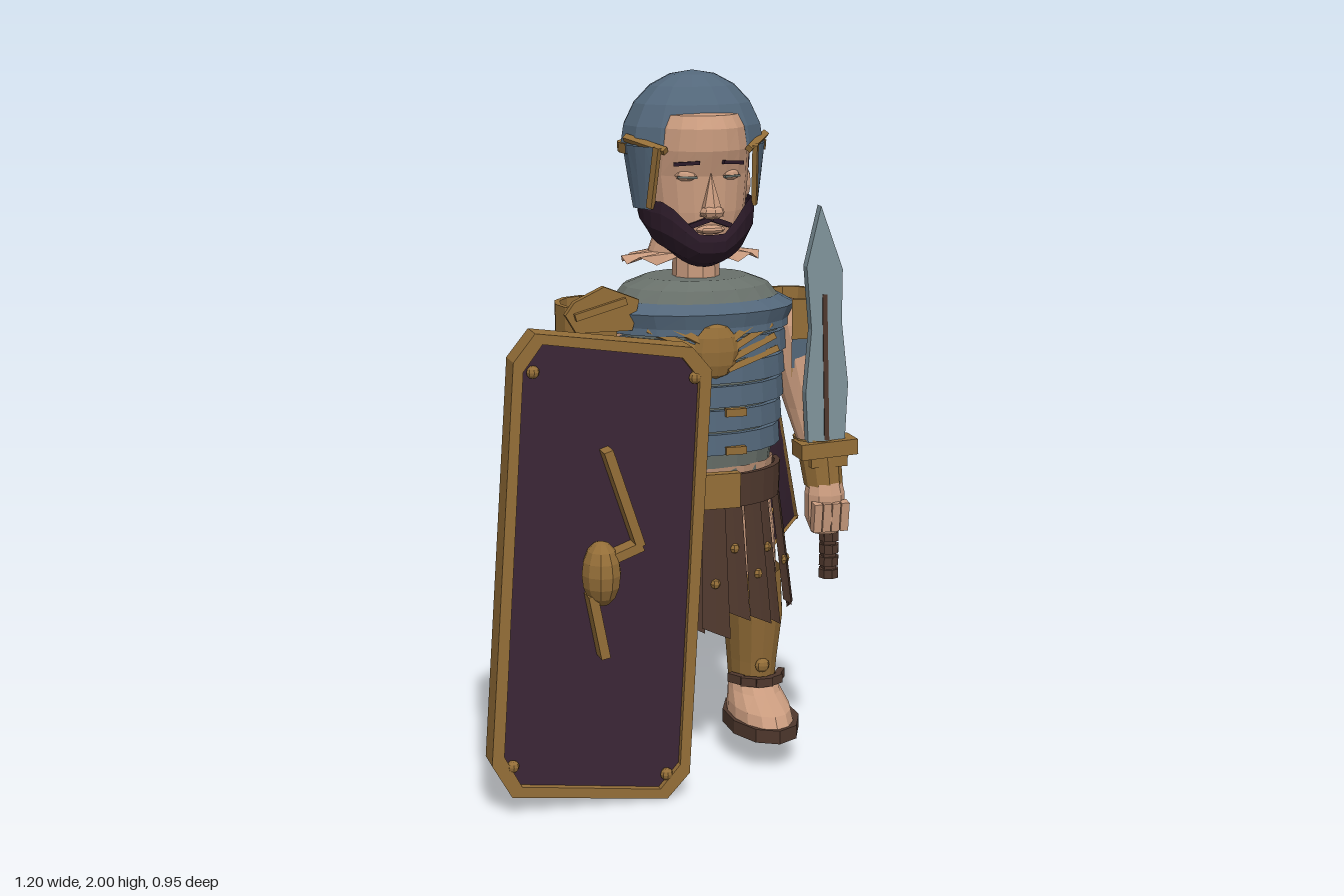
import * as THREE from 'three';

const paint = (name, color) => {
  const m = new THREE.MeshStandardMaterial({ color, side: THREE.DoubleSide });
  m.name = name;
  return m;
};
const M = {
  skin: paint('skin', 0xc99b7e), steel: paint('steel blue', 0x53677a), cloth: paint('grey cloth', 0x69716b),
  gold: paint('gold', 0x946e38), brown: paint('brown leather', 0x4f382d), purple: paint('purple', 0x3b2636),
  hair: paint('dark hair', 0x2b1a28), blade: paint('blade', 0x7f939b),
};

// Faceted mesh
function add(parent, name, geo, mat, pos = [0, 0, 0], rot = [0, 0, 0], scale = [1, 1, 1]) {
  const g = geo.index ? geo.toNonIndexed() : geo;
  g.computeVertexNormals();
  const m = new THREE.Mesh(g, mat);
  m.name = name;
  m.position.set(...pos);
  m.rotation.set(...rot);
  m.scale.set(...scale);
  parent.add(m);
  return m;
}
const box = (w, h, d) => new THREE.BoxGeometry(w, h, d);
const ball = (a = 10, b = 7) => new THREE.SphereGeometry(1, a, b);

// Sheet given by a rule (u, v) -> [x, y, z], v upward
function sheet(fn, nu, nv) {
  const g = new THREE.PlaneGeometry(1, 1, nu, nv), p = g.attributes.position;
  for (let i = 0; i < p.count; i++) p.setXYZ(i, ...fn(p.getX(i) + 0.5, p.getY(i) + 0.5));
  return g;
}
// Stack of elliptical rings [y, x, z, rx, rz], listed bottom to top
function loft(rings, n = 14) {
  return sheet((u, v) => {
    const [y, x, z, rx, rz] = rings[Math.round(v * (rings.length - 1))], a = u * Math.PI * 2 + Math.PI;
    return [x + rx * Math.sin(a), y, z + rz * Math.cos(a)];
  }, n, rings.length - 1);
}
// Thick elliptical wall around (x, z), spanning half-angle h about angle a; angle 0 is the front
function band(a, h, y0, y1, rx, rz, x, z, n) {
  const wall = [[y0, -0.016], [y0, 0], [y1, 0.002], [y1, -0.014], [y0, -0.016]];
  return sheet((u, v) => {
    const t = a + (u * 2 - 1) * h, [y, d] = wall[Math.round(v * 4)];
    return [x + (rx + d) * Math.sin(t), y, z + (rz + d) * Math.cos(t)];
  }, n, 4);
}
// Box running from a to b
function bar(parent, name, mat, a, b, w, d) {
  const A = new THREE.Vector3(...a), B = new THREE.Vector3(...b), dir = B.clone().sub(A);
  const m = add(parent, name, box(w, dir.length(), d), mat, A.clone().add(B).multiplyScalar(0.5).toArray());
  m.quaternion.setFromUnitVectors(new THREE.Vector3(0, 1, 0), dir.normalize());
}
const outline = (pts) => new THREE.Shape(pts.map((p) => new THREE.Vector2(...p)));
const slab = (shape, depth) => new THREE.ExtrudeGeometry(shape, { depth, bevelEnabled: false });

function buildHead(body) {
  const head = new THREE.Group();
  head.name = 'head';
  body.add(head);
  add(head, 'face', loft([[1.49, 0, 0.12, 0, 0], [1.5, 0, 0.12, 0.07, 0.07], [1.55, 0, 0.1, 0.11, 0.108], [1.62, 0, 0.07, 0.14, 0.143],
    [1.72, 0, 0.06, 0.152, 0.152], [1.79, 0, 0.07, 0.15, 0.162], [1.85, 0, 0.08, 0.137, 0.15], [1.885, 0, 0.085, 0.118, 0.122], [1.905, 0, 0.08, 0, 0]], 20), M.skin);
  const neckRings = [[1.462, 0.205, 0.085], [1.495, 0.125, 0.085], [1.54, 0.108, 0.09], [1.62, 0.115, 0.11], [1.78, 0.14, 0.13]];
  add(head, 'nape', sheet((u, v) => {
    const k = Math.round(v * 4), [y, rx, rz] = neckRings[k], a = u * Math.PI * 2, i = Math.round(u * 20);
    return [rx * Math.sin(a), y + (k ? 0 : (i % 2) * 0.022), 0.03 + rz * Math.cos(a)];
  }, 20, 4), M.skin);
  add(head, 'neck', new THREE.CylinderGeometry(0.065, 0.068, 0.16, 10), M.skin, [0, 1.46, 0.08]);
  // Beard rising along the jaw towards the ears
  add(head, 'beard', sheet((u, v) => {
    const a = (u * 2 - 1) * 1.85, k = Math.round(v * 5), t = Math.abs(a);
    const top = 1.562 + 0.088 * Math.min(1, Math.max(0, (t - 0.22) / 0.6));
    const low = 1.46 + 0.1 * (t / 1.85) ** 2, r = [0, 0.55, 0.84, 0.98, 1, 0.96][k];
    return [0.165 * r * Math.sin(a), low + (top - low) * [0, 0.03, 0.2, 0.5, 0.8, 1][k], 0.075 + 0.168 * r * Math.cos(a)];
  }, 16, 5), M.hair);
  add(head, 'nose', new THREE.ConeGeometry(0.034, 0.12, 6), M.skin, [0, 1.672, 0.222], [-0.08, 0, 0]);
  add(head, 'noseTip', ball(8, 6), M.skin, [0, 1.624, 0.23], [0, 0, 0], [0.036, 0.02, 0.033]);
  add(head, 'mouth', ball(8, 6), M.skin, [0, 1.574, 0.216], [0, 0, 0], [0.042, 0.013, 0.027]);
  for (const s of [-1, 1]) {
    add(head, 'moustache', box(0.062, 0.014, 0.02), M.hair, [s * 0.03, 1.594, 0.214], [0, s * 0.25, -s * 0.35]);
    add(head, 'eyebrow', box(0.072, 0.01, 0.012), M.hair, [s * 0.066, 1.757, 0.207], [0, s * 0.4, -s * 0.08]);
    add(head, 'eyelid', ball(8, 6), M.skin, [s * 0.062, 1.722, 0.19], [0, s * 0.35, 0], [0.034, 0.016, 0.018]);
    add(head, 'eyeLine', box(0.055, 0.006, 0.008), M.cloth, [s * 0.064, 1.719, 0.207], [0, s * 0.4, 0]);
    add(head, 'ear', ball(8, 6), M.skin, [s * 0.148, 1.68, 0.045], [0.15, 0, 0], [0.025, 0.052, 0.033]);
    // Cheek guard, narrower towards the jaw
    add(head, 'cheekGuard', sheet((u, v) => {
      const a = s * (0.95 - 0.2 * v + u * (0.45 + 0.4 * v)), r = 0.185 + 0.02 * v;
      return [r * Math.sin(a), 1.625 + 0.175 * v, 0.05 + (r - 0.03) * Math.cos(a)];
    }, 4, 2), M.steel);
    bar(head, 'cheekTrim', M.gold, [s * 0.142, 1.8, 0.178], [s * 0.152, 1.63, 0.142], 0.014, 0.02);
    bar(head, 'browTrim', M.gold, [s * 0.12, 1.79, 0.185], [s * 0.205, 1.82, 0.075], 0.018, 0.016);
  }
  add(head, 'backHair', band(Math.PI, 1.64, 1.725, 1.78, 0.165, 0.135, 0, 0.045, 10), M.hair);
  add(head, 'helmet', new THREE.SphereGeometry(1, 14, 5, 0, Math.PI * 2, 0, Math.PI / 2), M.steel, [0, 1.785, 0.038], [0, 0, 0], [0.21, 0.215, 0.16]);
  add(head, 'helmetRim', band(Math.PI, 1.84, 1.775, 1.803, 0.212, 0.162, 0, 0.038, 14), M.gold);
}

function buildTorso(body) {
  add(body, 'tunic', loft([[0.87, 0, 0.07, 0.22, 0.165], [0.95, 0, 0.07, 0.23, 0.175], [1.35, 0, 0.075, 0.25, 0.185]], 18), M.cloth);
  for (let i = 0; i < 6; i++) {
    const y = 0.945 + i * 0.068, w = 0.245 + i * 0.005;
    add(body, 'armourBand', loft([[y, 0, 0.075, w - 0.02, 0.18], [y, 0, 0.075, w + 0.004, 0.198], [y + 0.058, 0, 0.075, w, 0.192], [y + 0.058, 0, 0.075, w - 0.02, 0.175]], 20), M.steel);
  }
  add(body, 'shoulderYoke', loft([[1.3, 0, 0.075, 0.27, 0.195], [1.345, 0, 0.075, 0.29, 0.205], [1.372, 0, 0.075, 0.24, 0.178]], 20), M.steel);
  add(body, 'collar', loft([[1.365, 0, 0.075, 0.243, 0.18], [1.405, 0, 0.075, 0.21, 0.16], [1.428, 0, 0.075, 0.15, 0.12], [1.428, 0, 0.075, 0, 0]], 18), M.cloth);
  for (const y of [0.957, 1.066]) add(body, 'clasp', box(0.06, 0.022, 0.02), M.gold, [0.06, y, 0.268]);
  // Chest emblem with spread bars
  add(body, 'chestEmblem', ball(8, 6), M.gold, [0, 1.243, 0.272], [0, 0, 0], [0.066, 0.078, 0.025]);
  for (const s of [-1, 1]) for (let i = 0; i < 4; i++)
    bar(body, 'emblemWing', M.gold, [s * 0.03, 1.19 + i * 0.025, 0.28], [s * (0.2 - i * 0.01), 1.23 + i * 0.036, 0.212], 0.018, 0.015);
  // Belt in front and back lengths, hips, draped cloth, pouch
  add(body, 'frontBelt', band(0, 1.6, 0.79, 0.885, 0.25, 0.195, 0, 0.075, 14), M.brown);
  add(body, 'backBelt', band(Math.PI, 0.75, 0.79, 0.875, 0.245, 0.19, 0, 0.075, 6), M.brown);
  add(body, 'buckle', box(0.14, 0.1, 0.03), M.gold, [0, 0.845, 0.272]);
  add(body, 'hips', loft([[0.7, 0, 0.05, 0.2, 0.13], [0.8, 0, 0.06, 0.228, 0.16], [0.9, 0, 0.07, 0.232, 0.172]]), M.skin);
  add(body, 'loincloth', loft([[0.605, -0.02, 0.04, 0, 0], [0.615, -0.02, 0.04, 0.1, 0.1], [0.67, -0.025, 0.04, 0.2, 0.145], [0.73, -0.02, 0.045, 0.215, 0.16], [0.775, -0.015, 0.05, 0.215, 0.158]]), M.cloth);
  add(body, 'pouch', new THREE.CylinderGeometry(0.048, 0.042, 0.16, 8), M.brown, [-0.215, 0.71, -0.09]);
  // Flared, ragged leather strip skirt, open at the back
  for (let i = 0; i < 13; i++) {
    const a0 = (i - 6) * 0.252, low = [0.43, 0.47, 0.45][i % 3];
    const at = (u, v) => {
      const a = a0 + (u - 0.5) * (0.29 - 0.03 * v), k = 1 - v, lift = (i % 2 ? -0.006 : 0.006);
      return [(0.245 + 0.048 * k + lift) * Math.sin(a), 0.81 - k * (0.81 - low + (u - 0.5) * 0.04), 0.065 + (0.19 + 0.03 * k + lift) * Math.cos(a)];
    };
    add(body, 'skirtStrip', sheet(at, 2, 2), M.brown);
    add(body, 'skirtStud', ball(6, 4), M.gold, at(0.5, 0.38 + (i % 2) * 0.2), [0, a0, 0], [0.015, 0.015, 0.012]);
  }
}

function buildLimbs(body) {
  for (const s of [-1, 1]) {
    const side = new THREE.Group();
    side.name = s > 0 ? 'leftLimbs' : 'rightLimbs';
    body.add(side);
    const X = (rings) => rings.map(([y, x, ...r]) => [y, x * s, ...r]);
    add(side, 'leg', loft(X([[0.2, 0.19, 0.035, 0.055, 0.065], [0.4, 0.185, 0.055, 0.07, 0.085], [0.52, 0.175, 0.055, 0.08, 0.1],
      [0.66, 0.145, 0.045, 0.105, 0.12], [0.82, 0.115, 0.04, 0.115, 0.13]])), M.skin);
    add(side, 'greave', loft(X([[0.2, 0.185, 0.055, 0.066, 0.09], [0.28, 0.185, 0.055, 0.072, 0.1], [0.42, 0.185, 0.06, 0.086, 0.118], [0.56, 0.175, 0.065, 0.086, 0.122]])), M.gold);
    add(side, 'greaveStud', ball(8, 6), M.gold, [s * 0.185, 0.275, 0.155], [0, 0, 0], [0.022, 0.022, 0.015]);
    // Feet and sandals
    add(side, 'foot', loft(X([[0.115, 0.185, 0.135, 0.09, 0.168], [0.155, 0.185, 0.125, 0.085, 0.15], [0.19, 0.185, 0.08, 0.074, 0.11], [0.25, 0.185, 0.045, 0.06, 0.075]])), M.skin);
    add(side, 'sandalSole', new THREE.CylinderGeometry(1, 1, 0.04, 10), M.brown, [s * 0.188, 0.105, 0.135], [0, 0, 0], [0.105, 1, 0.175]);
    for (let i = -2; i <= 2; i++) {
      add(side, 'ankleStrap', box(0.05, 0.026, 0.02), M.brown, [s * 0.185 + 0.08 * Math.sin(i * 0.5), 0.228, 0.055 + 0.115 * Math.cos(i * 0.5)], [0, i * 0.5, 0]);
    }
    // Arms
    add(side, 'arm', loft(X([[0.84, 0.35, 0.195, 0.05, 0.055], [0.95, 0.335, 0.17, 0.055, 0.06], [1.04, 0.325, 0.125, 0.065, 0.08],
      [1.14, 0.31, 0.09, 0.075, 0.095], [1.28, 0.29, 0.06, 0.085, 0.1], [1.34, 0.26, 0.06, 0.05, 0.07], [1.35, 0.26, 0.06, 0, 0]])), M.skin);
    add(side, 'bracer', loft(X([[0.82, 0.35, 0.2, 0.056, 0.055], [0.9, 0.343, 0.185, 0.06, 0.066], [0.96, 0.335, 0.17, 0.066, 0.075]]), 10), M.gold);
    add(side, 'hand', loft(X([[0.68, 0.35, 0.215, 0, 0], [0.685, 0.35, 0.215, 0.04, 0.035], [0.73, 0.35, 0.215, 0.058, 0.055], [0.8, 0.35, 0.21, 0.058, 0.055], [0.86, 0.35, 0.2, 0.045, 0.045]]), 10), M.skin);
    for (let i = 0; i < 4; i++) add(side, 'finger', box(0.024, 0.085, 0.03), M.skin, [s * (0.31 + i * 0.027), 0.74, 0.255], [0.12, 0, 0]);
    // Banded shoulder guard, open towards the chest
    const sleeve = [['gold', 1.105, 1.16, 0.09, 0.11], ['steel', 1.16, 1.245, 0.095, 0.115], ['gold', 1.245, 1.36, 0.103, 0.124]];
    for (const [c, y0, y1, rx, rz] of sleeve)
      add(side, 'guardBand', band(s * Math.PI / 2, 2, y0, y1, rx, rz, s * 0.3, 0.06, 8), M[c]);
  }
  // Peaked plate on the shield-side shoulder
  add(body, 'shoulderPlate', slab(outline([[-0.41, 1.35], [-0.385, 1.385], [-0.3, 1.425], [-0.2, 1.385], [-0.22, 1.3], [-0.38, 1.3]]), 0.025), M.gold, [0, 0, 0.175]);
  bar(body, 'plateRidge', M.gold, [-0.385, 1.345, 0.206], [-0.24, 1.385, 0.206], 0.02, 0.02);
}

function buildShield(root) {
  const shield = new THREE.Group();
  shield.name = 'shield';
  root.add(shield);
  const pts = [[-0.6, 0.15], [-0.545, 0.053], [-0.1, 0], [-0.035, 0.07], [0.025, 1.22], [-0.03, 1.285], [-0.465, 1.345], [-0.525, 1.27]];
  const inset = (a, b) => pts.map(([x, y]) => [-0.285 + (x + 0.285) * a, 0.675 + (y - 0.675) * b]);
  const rim = outline(pts);
  rim.holes.push(outline(inset(0.89, 0.955)));
  add(shield, 'shieldRim', slab(rim, 0.085), M.gold, [0, 0, 0.325]);
  add(shield, 'shieldBack', slab(outline(inset(0.93, 0.97)), 0.045), M.brown, [0, 0, 0.293]);
  add(shield, 'shieldFace', slab(outline(inset(0.9, 0.96)), 0.055), M.purple, [0, 0, 0.335]);
  add(shield, 'shieldBoss', ball(10, 8), M.gold, [-0.29, 0.675, 0.415], [0, 0, 0], [0.055, 0.092, 0.062]);
  for (const [a, b] of [[[-0.275, 1.02], [-0.185, 0.75]], [[-0.18, 0.75], [-0.26, 0.72]], [[-0.32, 0.62], [-0.285, 0.44]]])
    bar(shield, 'shieldOrnament', M.gold, [...a, 0.415], [...b, 0.415], 0.026, 0.06);
  for (const [x, y] of [[-0.54, 0.14], [-0.1, 0.07], [-0.02, 1.2], [-0.47, 1.24]])
    add(shield, 'shieldRivet', ball(8, 6), M.gold, [x, y, 0.4], [0, 0, 0], [0.018, 0.018, 0.016]);
  bar(shield, 'shieldGrip', M.brown, [-0.34, 0.75, 0.21], [-0.46, 0.42, 0.25], 0.045, 0.04);
}

function buildSword(root) {
  const sword = new THREE.Group();
  sword.name = 'sword';
  root.add(sword);
  add(sword, 'blade', slab(outline([[0.37, 0.95], [0.48, 0.95], [0.487, 1.12], [0.465, 1.3], [0.465, 1.45], [0.398, 1.63], [0.358, 1.46], [0.375, 1.28], [0.36, 1.1]]), 0.03), M.blade, [0, 0, 0.203]);
  bar(sword, 'bladeRidge', M.brown, [0.425, 0.96, 0.218], [0.412, 1.38, 0.218], 0.014, 0.036);
  add(sword, 'guard', box(0.17, 0.045, 0.085), M.gold, [0.428, 0.935, 0.212], [0, 0, 0.05]);
  add(sword, 'guardBase', box(0.11, 0.035, 0.07), M.gold, [0.43, 0.9, 0.212]);
  bar(sword, 'grip', M.brown, [0.43, 0.92, 0.212], [0.445, 0.56, 0.212], 0.036, 0.036);
  for (let i = 0; i < 4; i++) add(sword, 'gripRing', new THREE.CylinderGeometry(0.03, 0.03, 0.026, 8), M.brown, [0.445, 0.56 + i * 0.037, 0.212]);
}

function buildCape(root) {
  const cape = new THREE.Group();
  cape.name = 'cape';
  root.add(cape);
  const hem = [[0.03, 0.39, -0.465], [0.125, 0.375, -0.39], [0.22, 0.39, -0.315], [0.3, 0.44, -0.395], [0.37, 0.45, -0.345], [0.48, 0.45, -0.41], [0.59, 0.54, -0.465]];
  const at = (u, v) => {
    const i = Math.min(5, Math.floor(u * 6)), f = u * 6 - i, t = 1 - v;
    const h = hem[i].map((c, k) => c + (hem[i + 1][k] - c) * f), x0 = -0.05 + 0.4 * u;
    return [x0 + (h[0] - x0) * t ** 1.4, 1.35 + (h[1] - 1.35) * t, -0.13 + (h[2] + 0.13) * t ** 1.8];
  };
  add(cape, 'capeCloth', sheet(at, 24, 8), M.purple);
  // Thin raised gold border on the outer face
  const edges = [(k) => at(0.012, k), (k) => at(0.988, k), (k) => at(k, 0.016)];
  for (const e of edges) for (let i = 0; i < 12; i++) {
    const [a, b] = [i, i + 1].map((k) => e(k / 12)).map(([x, y, z]) => [x, y, z - 0.011]);
    bar(cape, 'capeTrim', M.gold, a, b, 0.028, 0.016);
  }
  // Stars on the outer face
  const star = outline(Array.from({ length: 10 }, (_, i) => {
    const r = i % 2 ? 0.024 : 0.06, a = (i * Math.PI) / 5;
    return [r * Math.sin(a), r * Math.cos(a)];
  }));
  for (const [u, v, turn] of [[0.15, 0.19, -0.5], [0.8, 0.16, 0.4]]) {
    const [x, y, z] = at(u, v);
    add(cape, 'capeStar', slab(star, 0.02), M.gold, [x, y, z - 0.016]).rotation.set(0.45, turn, 0, 'YXZ');
  }
}

export function createModel() {
  const root = new THREE.Group();
  root.name = 'shieldBearer';
  const body = new THREE.Group();
  body.name = 'body';
  body.position.x = 0.08;
  root.add(body);
  for (const build of [buildHead, buildTorso, buildLimbs]) build(body);
  for (const build of [buildShield, buildSword, buildCape]) build(root);
  return root;
}
